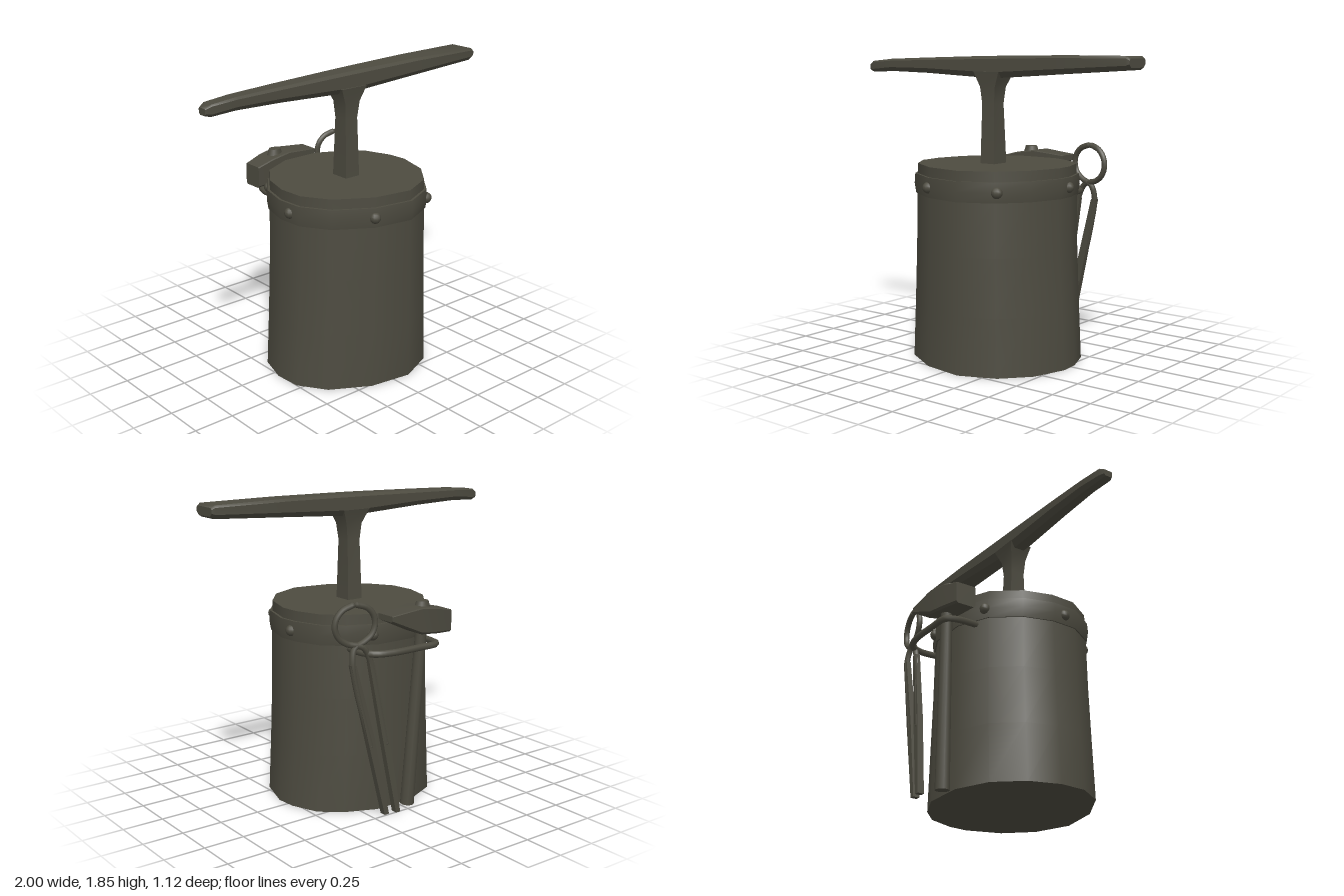
import * as THREE from 'three';
import { toCreasedNormals } from 'three/addons/utils/BufferGeometryUtils.js';

const iron = new THREE.MeshStandardMaterial({ color: 0x4d4b40 });
iron.name = 'darkIron';

// Skin a list of rings (counter-clockwise seen from the last ring), with flat end caps
function loft(rings, crease = 0.7) {
  const n = rings[0].length, pos = rings.flat(2), idx = [];
  for (let i = 0; i < rings.length - 1; i++) {
    for (let j = 0; j < n; j++) {
      const k = (j + 1) % n, a = i * n + j, b = i * n + k;
      idx.push(a, b, b + n, a, b + n, a + n);
    }
  }
  const last = (rings.length - 1) * n;
  for (let j = 1; j < n - 1; j++) {
    idx.push(0, j + 1, j, last, last + j, last + j + 1);
  }
  const g = new THREE.BufferGeometry();
  g.setAttribute('position', new THREE.Float32BufferAttribute(pos, 3));
  g.setIndex(idx);
  return toCreasedNormals(g, crease);
}

// Chamfered section across x: heights y0..y1, depths z0..z1
function barRing(x, y0, y1, z0, z1, c) {
  return [[y0, z0 + c], [y0 + c, z0], [y1 - c * 0.5, z0], [y1, z0 + c * 0.5],
    [y1, z1 - c * 0.5], [y1 - c * 0.5, z1], [y0 + c, z1], [y0, z1 - c]].map(([y, z]) => [x, y, z]);
}

// Rectangular section across y
const postRing = (y, x0, x1, z0, z1) =>
  [[x0, y, z1], [x1, y, z1], [x1, y, z0], [x0, y, z0]];

const vectors = pts => pts.map(p => new THREE.Vector3(...p));

export function createModel() {
  const model = new THREE.Group();
  const add = (name, geometry, parent = model) => {
    const m = new THREE.Mesh(geometry, iron);
    m.name = name;
    parent.add(m);
    return m;
  };
  const tube = (name, pts, r, parent) => {
    const curve = new THREE.CatmullRomCurve3(vectors(pts));
    const m = add(name, new THREE.TubeGeometry(curve, pts.length * 5, r, 7), parent);
    // rounded ends close the rod
    for (const p of [pts[0], pts[pts.length - 1]]) {
      add(name + 'End', new THREE.SphereGeometry(r, 7, 5), parent).position.set(...p);
    }
    return m;
  };

  // Uneven stump outline as x, z pairs
  const outline = [[0.1, 0.54], [0.3, 0.45], [0.43, 0.29], [0.49, 0.08], [0.48, -0.04], [0.42, -0.2],
    [0.31, -0.3], [0.14, -0.38], [-0.1, -0.38], [-0.29, -0.29], [-0.41, -0.13], [-0.46, 0.05],
    [-0.45, 0.21], [-0.35, 0.37], [-0.14, 0.5]];
  const cx = 0.015, cz = 0.08;
  const stumpRing = (y, sx, sz = sx) =>
    outline.map(([x, z]) => [cx + (x - cx) * sx, y, cz + (z - cz) * sz]);
  add('stump', loft([stumpRing(0, 1.105, 1.03), stumpRing(0.35, 1.06, 1.025), stumpRing(0.7, 1.025, 1.015),
    stumpRing(1.03, 1.01), stumpRing(1.2, 1)]));
  add('band', loft([stumpRing(1.02, 1.025), stumpRing(1.08, 1.045), stumpRing(1.14, 1.035)]));

  // Rivets around the band
  const rivets = new THREE.Group();
  rivets.name = 'rivets';
  model.add(rivets);
  for (const [x, z] of [[-0.145, 0.51], [0.32, 0.45], [0.495, -0.01], [0.18, -0.38], [-0.28, -0.31], [-0.465, 0.13]]) {
    add('rivet', new THREE.SphereGeometry(0.034, 10, 8), rivets).position.set(x, 1.08, z);
  }

  // Anvil: slim post flaring into a long tapered bar
  const anvil = new THREE.Group();
  anvil.name = 'anvil';
  model.add(anvil);
  add('post', loft([postRing(1.18, -0.047, 0.057, 0.02, 0.142), postRing(1.56, -0.042, 0.048, 0.037, 0.13),
    postRing(1.66, -0.052, 0.06, 0.03, 0.138), postRing(1.75, -0.09, 0.1, 0.0, 0.155)]), anvil);
  add('bar', loft([
    barRing(-1, 1.745, 1.785, 0.045, 0.105, 0.01),
    barRing(-0.965, 1.735, 1.805, 0.03, 0.12, 0.018),
    barRing(-0.8, 1.742, 1.82, 0.024, 0.125, 0.025),
    barRing(-0.5, 1.735, 1.83, 0.014, 0.134, 0.03),
    barRing(-0.07, 1.715, 1.842, 0.004, 0.144, 0.035),
    barRing(0.09, 1.715, 1.845, 0, 0.148, 0.035),
    barRing(0.5, 1.742, 1.85, -0.01, 0.157, 0.03),
    barRing(0.98, 1.772, 1.848, -0.018, 0.166, 0.025),
    barRing(1, 1.785, 1.835, -0.01, 0.158, 0.02)]), anvil);

  // Tool holder staple
  tube('toolHolder', [[-0.21, 1, -0.28], [-0.21, 1, -0.46], [-0.18, 1, -0.52], [-0.05, 1, -0.53], [0.15, 1, -0.53],
    [0.25, 1, -0.5], [0.29, 1, -0.43], [0.29, 1, -0.27]], 0.02);

  // Hammer hanging in the holder
  const hammer = new THREE.Group();
  hammer.name = 'hammer';
  model.add(hammer);
  add('hammerHead', loft([
    barRing(-0.3, 1.055, 1.19, -0.52, -0.39, 0.012),
    barRing(-0.18, 1.065, 1.22, -0.543, -0.394, 0.012),
    barRing(-0.05, 1.08, 1.238, -0.555, -0.4, 0.012),
    barRing(0.17, 1.18, 1.215, -0.55, -0.42, 0.008)], 0.4), hammer);
  const eye = add('handleEye', new THREE.CylinderGeometry(0.04, 0.06, 0.06, 10), hammer);
  eye.position.set(-0.115, 1.23, -0.47);
  eye.scale.z = 0.8;
  const from = new THREE.Vector3(-0.045, 0.005, -0.436), to = new THREE.Vector3(-0.11, 1.12, -0.472);
  const handle = add('handle', new THREE.CylinderGeometry(0.034, 0.043, from.distanceTo(to), 10), hammer);
  handle.position.copy(from).lerp(to, 0.5);
  handle.quaternion.setFromUnitVectors(new THREE.Vector3(0, 1, 0), to.clone().sub(from).normalize());

  // Tongs: two crossing rods ending in an open loop above and flat blades below
  const tongs = new THREE.Group();
  tongs.name = 'tongs';
  model.add(tongs);
  const loopPoint = deg => {
    const a = THREE.MathUtils.degToRad(deg), x = 0.355 + 0.125 * Math.cos(a);
    return [x, 1.175 + 0.115 * Math.sin(a), -0.445 + (x - 0.355) * 0.18];
  };
  const arc = (a, b) => Array.from({ length: 6 }, (_, i) => loopPoint(a + (b - a) * i / 5));
  tube('tongRodLeft', [...arc(95, 245), [0.365, 1.04, -0.45], [0.385, 0.96, -0.46], [0.36, 0.8, -0.465],
    [0.27, 0.45, -0.48]], 0.018, tongs);
  tube('tongRodRight', [...arc(82, -65), [0.31, 1.04, -0.46], [0.265, 0.96, -0.465], [0.23, 0.8, -0.472],
    [0.165, 0.45, -0.49]], 0.018, tongs);
  const blade = (name, x0, z0, x1, z1) => add(name, loft([
    postRing(0.01, x1 - 0.012, x1 + 0.02, z1 - 0.02, z1 + 0.02),
    postRing(0.5, (x0 + x1) / 2 - 0.025, (x0 + x1) / 2 + 0.025, (z0 + z1) / 2 - 0.018, (z0 + z1) / 2 + 0.018),
    postRing(0.95, x0 - 0.018, x0 + 0.018, z0 - 0.014, z0 + 0.014)]), tongs);
  blade('tongBladeLeft', 0.385, -0.46, 0.165, -0.49);
  blade('tongBladeRight', 0.26, -0.465, 0.09, -0.503);

  return model;
}
